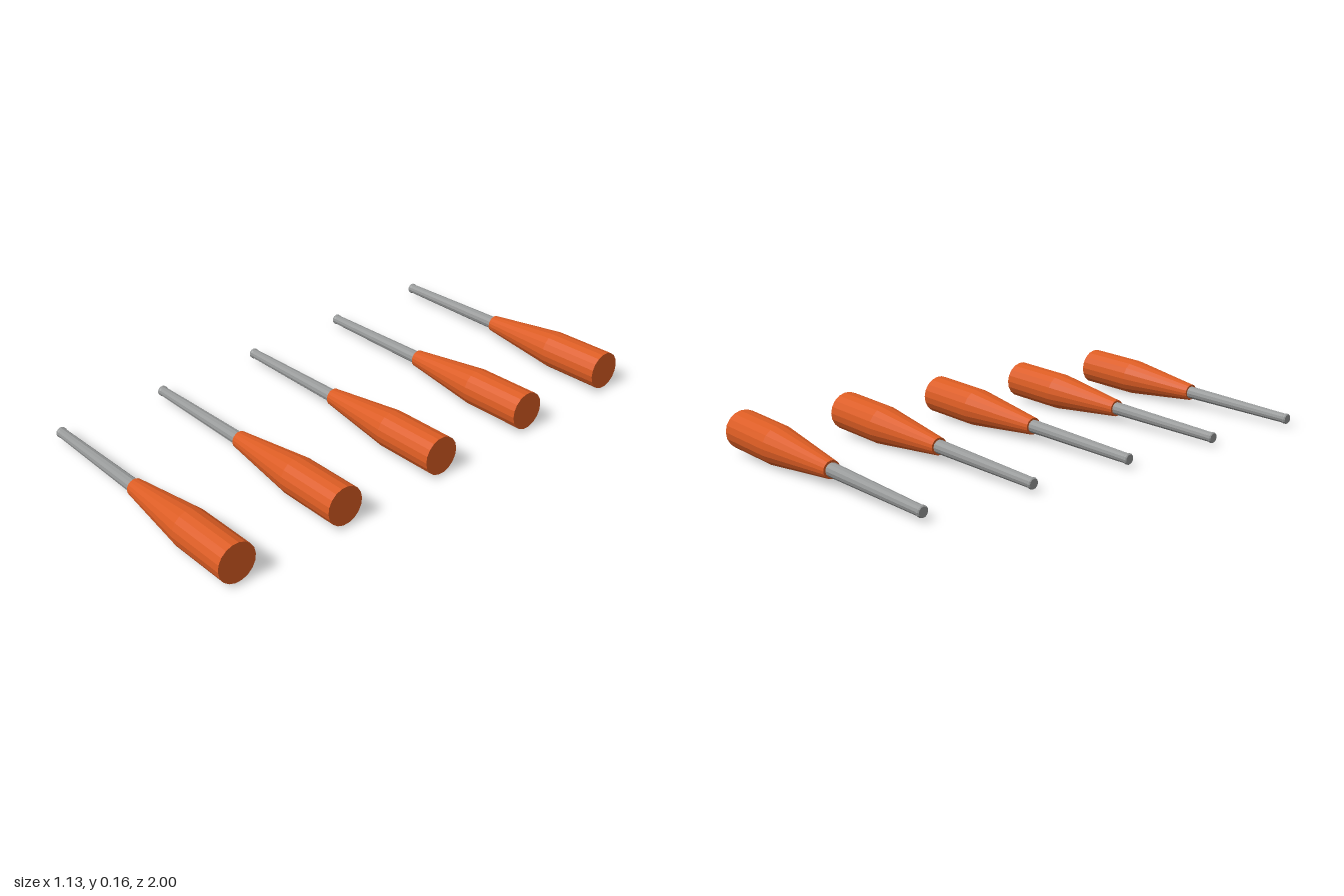
import * as THREE from 'three';

const steel = new THREE.MeshStandardMaterial({ color: 0x979999, flatShading: true });
steel.name = 'grey steel';
const orange = new THREE.MeshStandardMaterial({ color: 0xdb5c23, flatShading: true });
orange.name = 'orange handle';

// Turned part: profile of [radius, distance along the axis]
function turned(name, profile, sides, material) {
  const points = profile.map(([r, d]) => new THREE.Vector2(r, d));
  const mesh = new THREE.Mesh(new THREE.LatheGeometry(points, sides), material);
  mesh.name = name;
  return mesh;
}

// One tool: thin tapered shaft with a beaded tip, and a flared handle
function createTool() {
  const tool = new THREE.Group();
  tool.add(turned('shaft', [
    [0, -0.564], [0.018, -0.564], [0.0215, -0.560], [0.0215, -0.552],
    [0.0195, -0.548], [0.0265, -0.04], [0, -0.04],
  ], 12, steel));
  tool.add(turned('handle', [
    [0, -0.043], [0.034, -0.043], [0.0755, 0.297], [0.0762, 0.559], [0, 0.559],
  ], 18, orange));
  return tool;
}

export function createModel() {
  const model = new THREE.Group();
  model.name = 'toolSet';
  // Five tools side by side, each resting on its handle and tip
  for (let i = -2; i <= 2; i++) {
    const tool = createTool();
    tool.name = 'tool' + (i + 3);
    tool.rotation.z = -Math.PI / 2 + 0.049;
    tool.position.set(0, 0.0627, i * 0.462);
    model.add(tool);
  }
  return model;
}
